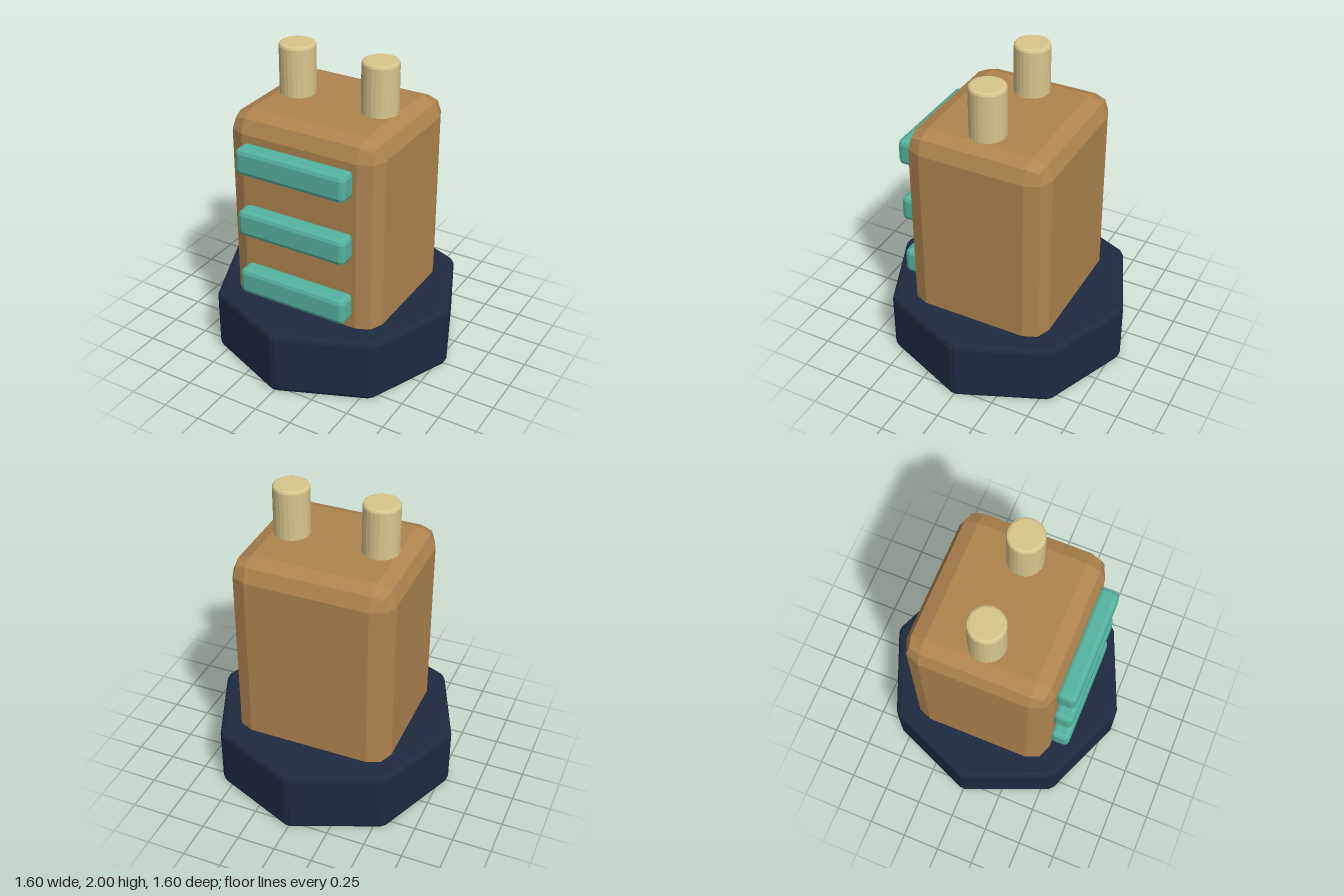
import * as THREE from 'three';
import { RoundedBoxGeometry } from 'three/addons/geometries/RoundedBoxGeometry.js';

const material = (color) => new THREE.MeshStandardMaterial({ color, flatShading: true });

function addPart(group, name, geometry, mat, x = 0, y = 0, z = 0) {
  const mesh = new THREE.Mesh(geometry, mat);
  mesh.name = name;
  mesh.position.set(x, y, z);
  group.add(mesh);
}

// Octagonal plinth with chamfered corners and softened rims, standing on y = 0
function plinthGeometry(radius, height, bevel) {
  const corners = [];
  for (let i = 0; i < 8; i++) {
    const a = (i * Math.PI) / 4;
    corners.push(new THREE.Vector2(Math.cos(a), Math.sin(a)).multiplyScalar(radius));
  }
  const outline = [];
  corners.forEach((c, i) => {
    outline.push(c.clone().lerp(corners[(i + 7) % 8], 0.035));
    outline.push(c.clone().lerp(corners[(i + 1) % 8], 0.035));
  });
  return new THREE.ExtrudeGeometry(new THREE.Shape(outline), {
    depth: height - 2 * bevel,
    bevelEnabled: true,
    bevelThickness: bevel,
    bevelSize: bevel,
    bevelOffset: -bevel,
    bevelSegments: 2,
  }).rotateX(-Math.PI / 2).translate(0, bevel, 0);
}

// Round post with a small softened rim, closed at both ends
function postGeometry(radius, height, bevel) {
  const profile = [
    [0, 0], [radius, 0], [radius, height - bevel],
    [radius - bevel * 0.3, height - bevel * 0.3], [radius - bevel, height], [0, height],
  ].map(([r, y]) => new THREE.Vector2(r, y));
  return new THREE.LatheGeometry(profile, 24);
}

export function createModel() {
  const model = new THREE.Group();
  model.name = 'model';

  // Base
  addPart(model, 'base', plinthGeometry(0.808, 0.42, 0.03), material(0x1e2a40));

  // Body, its lower rounding sunk into the base
  addPart(model, 'body', new RoundedBoxGeometry(1.04, 1.4, 0.94, 1, 0.125), material(0xb08550), 0, 0.975, 0);

  // Three raised bars on the front
  const barMaterial = material(0x55b3a0);
  const barGeometry = new RoundedBoxGeometry(0.75, 0.172, 0.13, 1, 0.03);
  [0.58, 1.0, 1.42].forEach((y, i) => addPart(model, `frontBar${i + 1}`, barGeometry, barMaterial, 0, y, 0.52));

  // Pair of posts on top
  const postMaterial = material(0xd9c68e);
  const post = postGeometry(0.115, 0.4, 0.018);
  addPart(model, 'leftPost', post, postMaterial, 0.288, 1.6, 0);
  addPart(model, 'rightPost', post, postMaterial, -0.288, 1.6, 0);

  return model;
}
